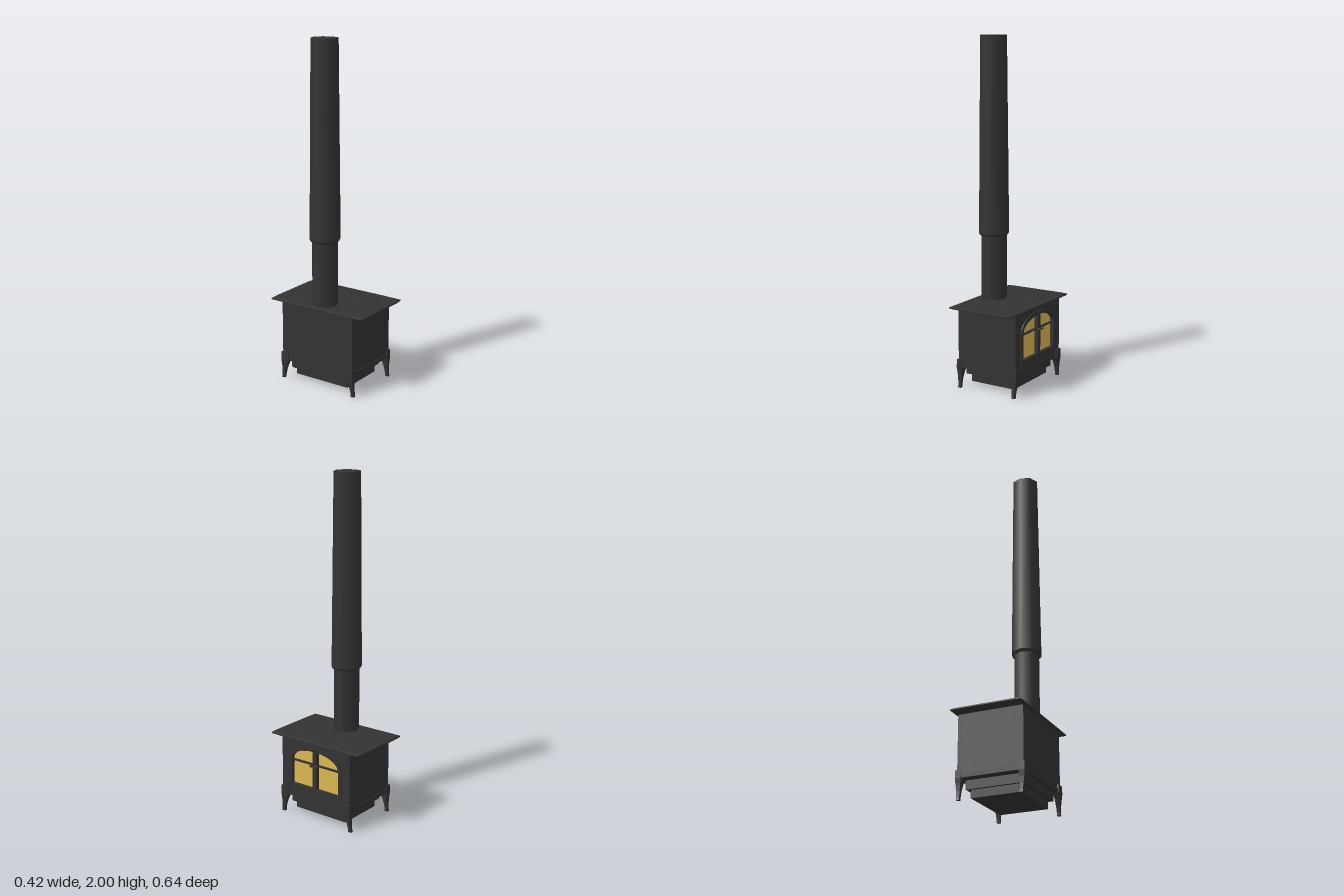
import * as THREE from 'three';

const iron = new THREE.MeshStandardMaterial({ color: 0x333333 });
const glow = new THREE.MeshStandardMaterial({ color: 0xdcb650 });

export function createModel() {
  const model = new THREE.Group();

  function add(name, geometry, x = 0, y = 0, z = 0, material = iron) {
    const mesh = new THREE.Mesh(geometry, material);
    mesh.name = name;
    mesh.position.set(x, y, z);
    model.add(mesh);
    return mesh;
  }

  // Box given by its limits on each axis
  function box(name, x0, x1, y0, y1, z0, z1) {
    return add(name, new THREE.BoxGeometry(x1 - x0, y1 - y0, z1 - z0),
      (x0 + x1) / 2, (y0 + y1) / 2, (z0 + z1) / 2);
  }

  // Door outline: straight sides under a flattened arch
  function archPoints(half, bottom, spring, rise) {
    const pts = [new THREE.Vector2(-half, bottom), new THREE.Vector2(half, bottom)];
    for (let i = 0; i <= 12; i++) {
      const a = (i / 12) * Math.PI;
      pts.push(new THREE.Vector2(half * Math.cos(a), spring + rise * Math.sin(a)));
    }
    return pts;
  }

  // Outline in the z-y plane, extruded towards +x from x0 to x1
  function frontPanel(name, outer, hole, x0, x1, material = iron) {
    const shape = new THREE.Shape(outer);
    if (hole) shape.holes.push(new THREE.Path(hole));
    const geo = new THREE.ExtrudeGeometry(shape, { depth: x1 - x0, bevelEnabled: false });
    geo.rotateY(Math.PI / 2);
    return add(name, geo, x0, 0, 0, material);
  }

  // Firebox, skirt and stepped ash tray
  box('firebox', -0.195, 0.165, 0.12, 0.476, -0.245, 0.245);
  box('skirt', -0.2, 0.19, 0.12, 0.143, -0.25, 0.25);
  box('upperTray', -0.175, 0.16, 0.07, 0.121, -0.195, 0.195);
  box('lowerTray', -0.15, 0.137, 0.025, 0.071, -0.18, 0.18);

  // Front face with its arched door opening
  const opening = archPoints(0.168, 0.2, 0.355, 0.075);
  const face = [[-0.245, 0.14], [0.245, 0.14], [0.245, 0.476], [-0.245, 0.476]]
    .map(([a, b]) => new THREE.Vector2(a, b));
  frontPanel('frontFace', face, opening, 0.164, 0.186);
  frontPanel('doorFrame', archPoints(0.19, 0.17, 0.36, 0.095), opening, 0.18, 0.192);
  frontPanel('glass', opening, null, 0.163, 0.171, glow);

  // Raised corner ornaments beside the arch
  for (const s of [-1, 1]) {
    const curve = [[0.225, 0.375], [0.225, 0.455], [0.13, 0.455], [0.175, 0.435], [0.208, 0.405]]
      .map(([a, b]) => new THREE.Vector2(s * a, b));
    frontPanel('cornerOrnament', curve, null, 0.184, 0.189);
  }

  // Door bars and knobs
  box('crossBar', 0.17, 0.184, 0.341, 0.35, -0.168, 0.168);
  for (const s of [-1, 1]) {
    box('doorStile', 0.17, 0.194, 0.175, 0.45, s > 0 ? 0.001 : -0.014, s > 0 ? 0.014 : -0.001);
    const stem = new THREE.CylinderGeometry(0.005, 0.005, 0.014, 6).rotateZ(-Math.PI / 2);
    add('knobStem', stem, 0.198, 0.346, s * 0.018);
    add('knob', new THREE.SphereGeometry(0.01, 6, 4), 0.203, 0.346, s * 0.018);
  }

  // Top plate with chamfered rim and slightly bowed edges
  const rim = [[-0.2, -0.306], [-0.16, -0.31], [0.155, -0.31], [0.19, -0.306], [0.194, -0.2],
    [0.194, 0.2], [0.19, 0.306], [0.155, 0.31], [-0.16, 0.31], [-0.2, 0.306]]
    .map(([a, b]) => new THREE.Vector2(a, b));
  const plate = new THREE.ExtrudeGeometry(new THREE.Shape(rim),
    { depth: 0.007, bevelThickness: 0.004, bevelSize: 0.01, bevelSegments: 1 });
  plate.rotateX(-Math.PI / 2);
  add('topPlate', plate, 0, 0.478, 0);

  // Shallow domed hob lids
  const lid = [[0.078, 0], [0.078, 0.006], [0.045, 0.0085], [0, 0.01]]
    .map(([r, y]) => new THREE.Vector2(r, y));
  for (const z of [-0.142, 0.157]) {
    add('hobLid', new THREE.LatheGeometry(lid, 10), 0.073, 0.488, z);
  }

  // Flue: straight lower pipe, tapered upper pipe with a collar lip
  const flueX = -0.11;
  const pipe = (name, top, bottom, y0, y1) =>
    add(name, new THREE.CylinderGeometry(top, bottom, y1 - y0, 8), flueX, (y0 + y1) / 2, 0);
  pipe('lowerFlue', 0.075, 0.075, 0.485, 0.88);
  pipe('flueCollar', 0.089, 0.082, 0.862, 0.875);
  pipe('upperFlue', 0.077, 0.089, 0.875, 2);

  // Flared legs: rectangles of [y, outer x, inner x, outer z, inner z], top to bottom
  const sections = [[0.165, 0.198, 0.165, 0.252, 0.205], [0.12, 0.2, 0.165, 0.253, 0.2],
    [0.085, 0.196, 0.169, 0.25, 0.217], [0.05, 0.192, 0.171, 0.25, 0.229],
    [0.015, 0.189, 0.172, 0.253, 0.236], [0, 0.19, 0.171, 0.256, 0.237]];
  function legGeometry(sx, sz) {
    const pos = [], idx = [];
    const quad = (a, b, c, d) => sx * sz > 0 ? idx.push(a, b, c, a, c, d) : idx.push(a, c, b, a, d, c);
    for (const [y, xo, xi, zo, zi] of sections) {
      for (const [x, z] of [[xi, zi], [xi, zo], [xo, zo], [xo, zi]]) pos.push(sx * x, y, sz * z);
    }
    for (let i = 0; i < sections.length - 1; i++) {
      for (let j = 0; j < 4; j++) {
        const k = (j + 1) % 4, a = i * 4, b = a + 4;
        quad(a + j, b + j, b + k, a + k);
      }
    }
    const e = (sections.length - 1) * 4;
    quad(0, 1, 2, 3);
    quad(e + 3, e + 2, e + 1, e);
    const indexed = new THREE.BufferGeometry();
    indexed.setAttribute('position', new THREE.Float32BufferAttribute(pos, 3));
    indexed.setIndex(idx);
    const geo = indexed.toNonIndexed();
    geo.computeVertexNormals();
    return geo;
  }
  for (const sx of [-1, 1]) {
    for (const sz of [-1, 1]) add('leg', legGeometry(sx, sz), -0.005, 0, 0);
  }

  return model;
}
